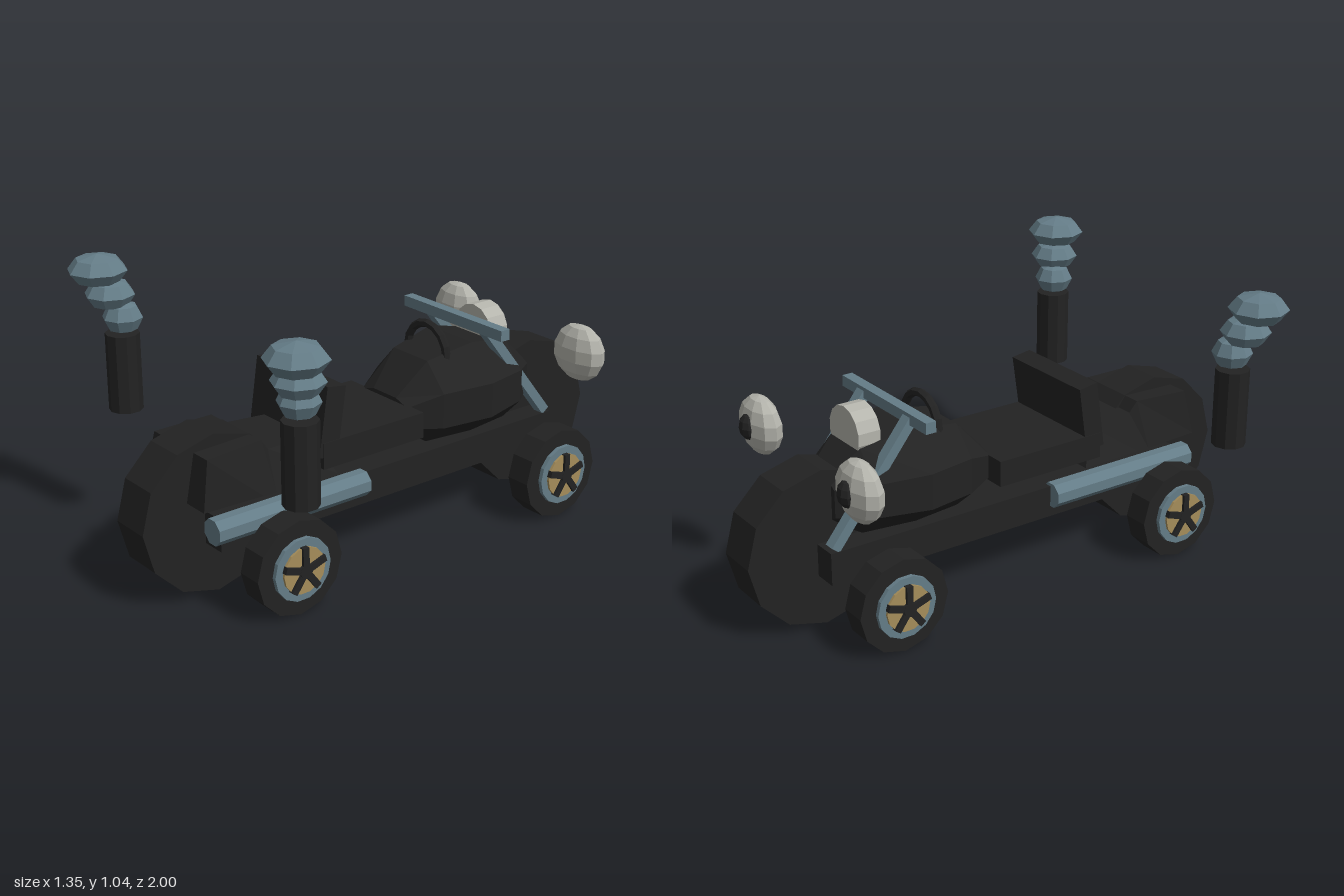
import * as THREE from 'three';

const mat = (name, color) => new THREE.MeshStandardMaterial({ name, color, flatShading: true });

// Closed loft through rings of [x, y, z], ordered towards +z and counterclockwise seen from +z
function loft(rings) {
  const n = rings[0].length, index = [];
  for (let i = 0; i < rings.length - 1; i++) {
    for (let j = 0; j < n; j++) {
      const k = (j + 1) % n;
      const a = i * n + j, b = i * n + k, c = b + n, d = a + n;
      index.push(a, b, c, a, c, d);
    }
  }
  const last = (rings.length - 1) * n;
  for (let j = 1; j < n - 1; j++) {
    index.push(0, j + 1, j);
    index.push(last, last + j, last + j + 1);
  }
  const geo = new THREE.BufferGeometry();
  geo.setAttribute('position', new THREE.Float32BufferAttribute(rings.flat(2), 3));
  geo.setIndex(index);
  geo.computeVertexNormals();
  return geo;
}

export function createModel() {
  const black = mat('black', 0x222222);
  const steel = mat('blue grey steel', 0x647c87);
  const glass = mat('pale lamp grey', 0xb4b4ac);
  const gold = mat('dull gold', 0xa58d5a);
  const model = new THREE.Group();
  model.name = 'vehicle';

  const add = (name, geo, material, x = 0, y = 0, z = 0, parent = model) => {
    const mesh = new THREE.Mesh(geo, material);
    mesh.name = name;
    mesh.position.set(x, y, z);
    parent.add(mesh);
    return mesh;
  };
  const box = (x, y, z) => new THREE.BoxGeometry(x, y, z);
  const disc = (r, width, sides) => new THREE.CylinderGeometry(r, r, width, sides).rotateZ(Math.PI / 2);
  const ball = (rx, ry, rz, w, h) => new THREE.SphereGeometry(1, w, h).scale(rx, ry, rz);

  // Frame, seat and backrest
  add('lowerFrame', box(0.335, 0.118, 1.5), black, 0, 0.254, 0.01);
  add('seat', box(0.405, 0.095, 0.44), black, 0, 0.438, 0.14);
  add('backrest', box(0.4, 0.25, 0.078), black, 0, 0.553, 0.32).rotation.x = -0.15;

  // Big central wheels
  for (const z of [-0.715, 0.715]) {
    add(z < 0 ? 'frontCentreWheel' : 'rearCentreWheel', disc(0.285, 0.156, 12), black, 0, 0.292, z);
  }

  // Tail cowl: [bottom half width, bottom z, top half width, top y, top z]
  const cowl = [
    [0.2, 0.3, 0.125, 0.49, 0.36],
    [0.19, 0.55, 0.14, 0.497, 0.545],
    [0.19, 0.6, 0.145, 0.537, 0.575],
    [0.178, 0.828, 0.157, 0.53, 0.795],
  ].map(([b, bz, t, ty, tz]) => [[b, 0.36, bz], [t, ty, tz], [-t, ty, tz], [-b, 0.36, bz]]);
  add('tailCowl', loft(cowl), black);

  // Tank: octagonal sections [z, half width, bottom y, lower side y, upper side y, top y]
  const tank = [
    [-0.68, 0.1, 0.37, 0.4, 0.5, 0.53],
    [-0.57, 0.18, 0.31, 0.4, 0.52, 0.62],
    [-0.38, 0.232, 0.31, 0.4, 0.53, 0.655],
    [-0.19, 0.185, 0.31, 0.39, 0.52, 0.62],
    [-0.07, 0.125, 0.385, 0.4, 0.48, 0.5],
  ].map(([z, w, b, l, u, t]) => {
    const n = w * 0.5;
    return [[n, b], [w, l], [w, u], [n, t], [-n, t], [-w, u], [-w, l], [-n, b]].map(([x, y]) => [x, y, z]);
  });
  add('tank', loft(tank), black);

  // Hoop over the tank, handlebar and centre lamp
  add('tankHoop', new THREE.TorusGeometry(0.105, 0.016, 6, 8, Math.PI), black, 0, 0.615, -0.27);
  add('handlebar', box(0.528, 0.04, 0.04), steel, 0, 0.715, -0.404);
  add('centreLamp', new THREE.CylinderGeometry(0.095, 0.095, 0.085, 14).rotateX(Math.PI / 2), glass, 0, 0.65, -0.535);

  // One small wheel with rim, hub face and five spokes; s is the outward side
  const smallWheel = (name, s, z) => {
    const wheel = new THREE.Group();
    wheel.name = name;
    wheel.position.set(s * 0.333, 0.171, z);
    model.add(wheel);
    add('tyre', disc(0.17, 0.095, 12), black, 0, 0, 0, wheel);
    add('rim', disc(0.112, 0.02, 14), steel, s * 0.053, 0, 0, wheel);
    add('hubFace', disc(0.083, 0.012, 14), gold, s * 0.066, 0, 0, wheel);
    for (let i = 0; i < 5; i++) {
      const spoke = box(0.022, 0.084, 0.024).translate(0, 0.042, 0).rotateX(i * Math.PI * 0.4);
      add('spoke', spoke, black, s * 0.071, 0, 0, wheel);
    }
    add('hubCap', disc(0.026, 0.024, 8), black, s * 0.071, 0, 0, wheel);
  };

  for (const s of [-1, 1]) {
    const side = s > 0 ? 'left' : 'right';
    smallWheel(side + 'FrontWheel', s, -0.592);
    smallWheel(side + 'RearWheel', s, 0.597);

    // Fork leg from handlebar to frame
    add(side + 'Fork', box(0.042, 0.5, 0.036), steel, s * 0.145, 0.515, -0.565).rotation.x = 0.67;

    // Exhaust pipe along the frame
    const pipe = new THREE.CylinderGeometry(0.048, 0.048, 0.63, 8).rotateY(Math.PI / 8).rotateX(Math.PI / 2);
    add(side + 'Pipe', pipe, steel, s * 0.17, 0.28, 0.48);

    // Headlamp with dark centre
    add(side + 'Headlamp', ball(0.118, 0.107, 0.06, 10, 7), glass, s * 0.328, 0.6, -0.717);
    add(side + 'LampCentre', ball(0.042, 0.048, 0.036, 10, 6), black, s * 0.328, 0.602, -0.761);

    // Chimney stack with rising smoke puffs: [x, y, z, radius, half height]
    add(side + 'Stack', new THREE.CylinderGeometry(0.061, 0.061, 0.283, 10), black, s * 0.514, 0.616, 0.688);
    const puffs = [
      [0.508, 0.816, 0.686, 0.072, 0.06],
      [0.541, 0.897, 0.712, 0.089, 0.055],
      [0.569, 0.982, 0.739, 0.106, 0.057],
    ];
    for (const [x, y, z, r, h] of puffs) {
      add(side + 'SmokePuff', ball(r, h, r, 8, 4), steel, s * x, y, z);
    }
  }
  return model;
}
